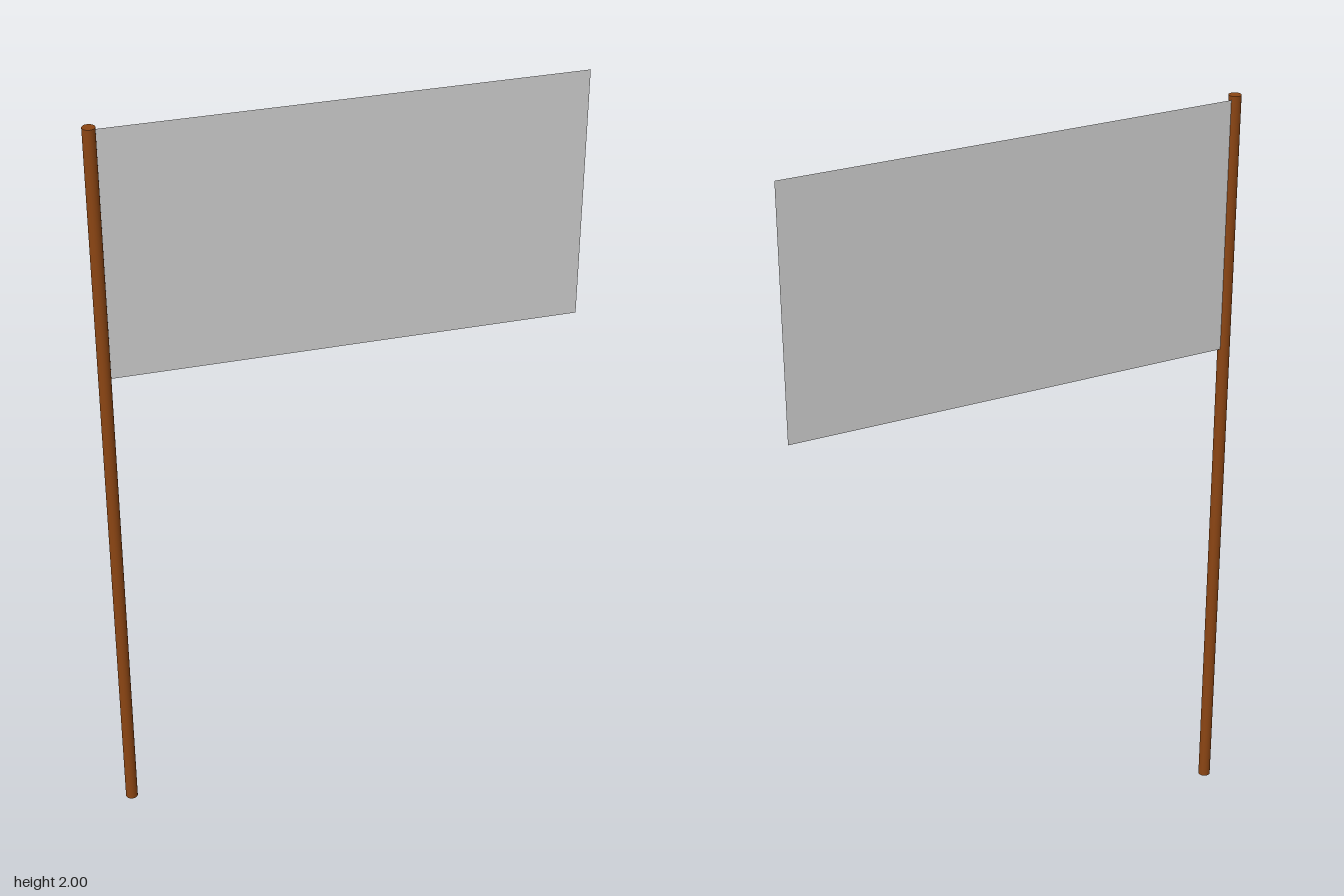
import * as THREE from 'three';

export function createModel() {
  const model = new THREE.Group();
  const poleX = -0.591, poleRadius = 0.016;

  // Tall round pole
  const pole = new THREE.Mesh(
    new THREE.CylinderGeometry(poleRadius, poleRadius, 2, 16),
    new THREE.MeshStandardMaterial({ color: 0x8b4513 })
  );
  pole.name = 'pole';
  pole.position.set(poleX, 1, 0);
  model.add(pole);

  // Flat flag cloth, its hoist edge set inside the pole
  const right = 0.607, bottom = 1.325, top = 1.99;
  const flag = new THREE.Mesh(
    new THREE.PlaneGeometry(right - poleX, top - bottom),
    new THREE.MeshStandardMaterial({ color: 0xcccccc, side: THREE.DoubleSide })
  );
  flag.name = 'flag';
  flag.position.set((right + poleX) / 2, (top + bottom) / 2, -0.007);
  model.add(flag);

  return model;
}
